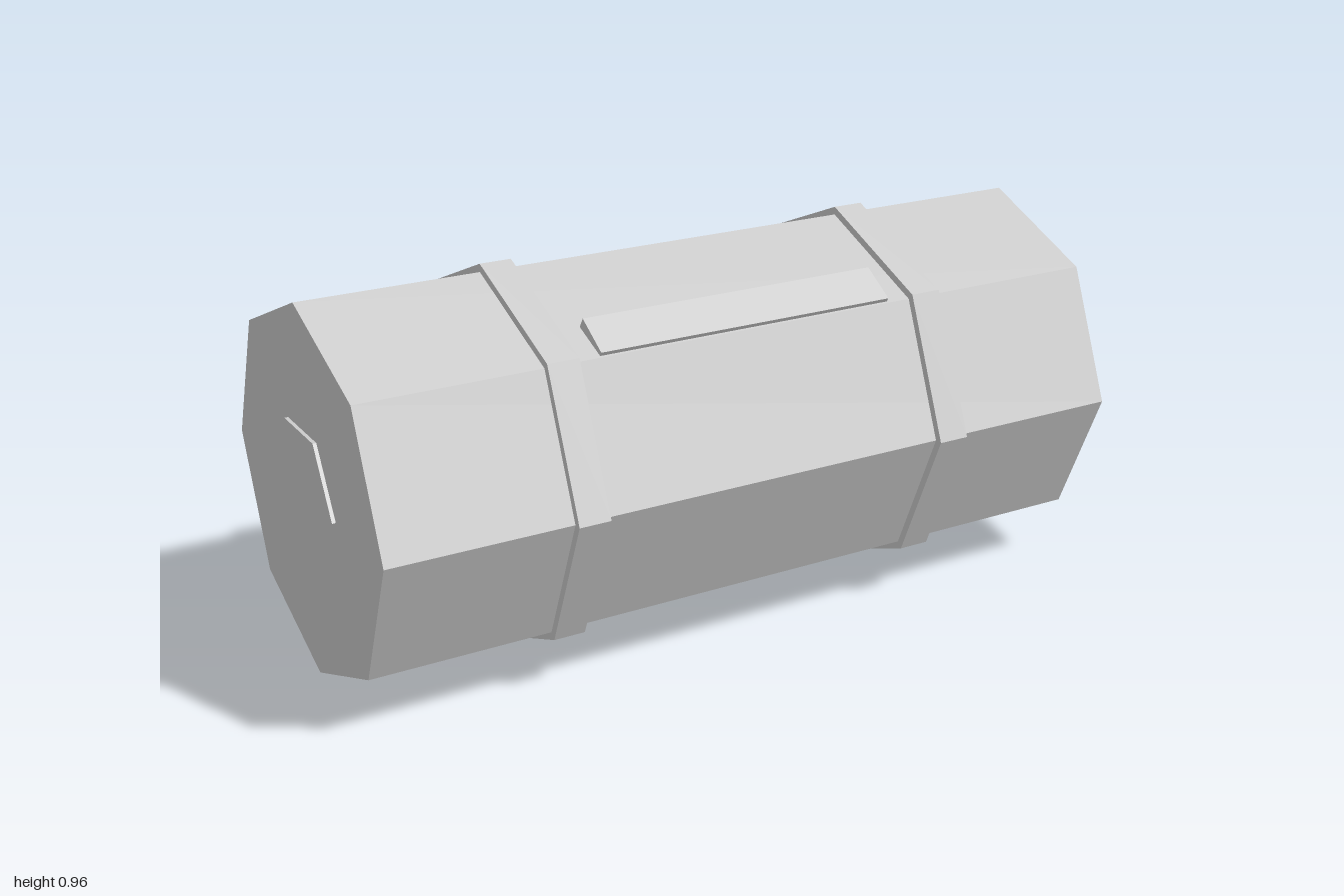
import * as THREE from 'three';

const AXIS_Y = 0.482;

export function createModel() {
  const group = new THREE.Group();
  group.name = 'barrel';
  const material = new THREE.MeshStandardMaterial({ color: 0xcccccc, flatShading: true });

  // Prism lying along x, with a corner pointing to +z
  function addPrism(name, radius, length, sides, x) {
    const geometry = new THREE.CylinderGeometry(radius, radius, length, sides);
    geometry.rotateZ(Math.PI / 2);
    const mesh = new THREE.Mesh(geometry, material);
    mesh.name = name;
    mesh.position.set(x, AXIS_Y, 0);
    group.add(mesh);
  }

  // Octagonal body
  addPrism('body', 0.462, 1.982, 8, 0);

  // Raised bands and hexagonal end bosses, one per side
  for (const [side, s] of [['left', 1], ['right', -1]]) {
    addPrism(side + 'Band', 0.482, 0.08, 8, s * 0.497);
    addPrism(side + 'EndBoss', 0.184, 0.04, 6, s * 0.98);
  }

  // Slightly tilted plate sunk into the upper front face
  const plate = new THREE.Mesh(new THREE.BoxGeometry(0.79, 0.04, 0.104), material);
  plate.name = 'plate';
  plate.position.set(0, 0.831, 0.273);
  plate.rotation.x = 0.56;
  group.add(plate);

  return group;
}
